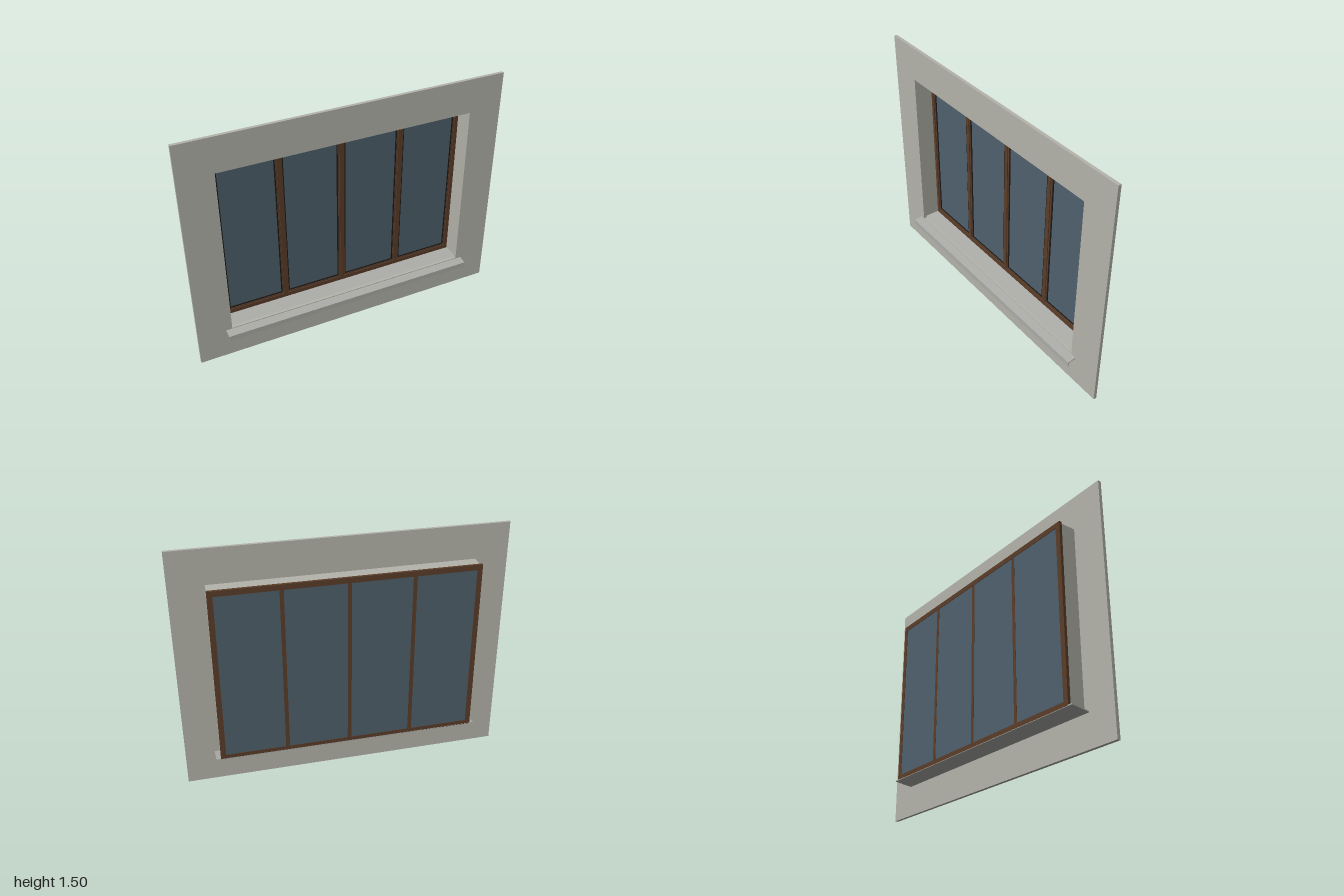
import * as THREE from 'three';

const material = (name, color) => {
  const m = new THREE.MeshStandardMaterial({ color });
  m.name = name;
  return m;
};

export function createModel() {
  const model = new THREE.Group();
  model.name = 'windowInWall';
  const plaster = material('plaster', 0xb4b4ab);
  const metal = material('sillMetal', 0xacaca8);
  const wood = material('brownFrame', 0x5a3d29);
  const rubber = material('darkGasket', 0x1c1a18);
  const glass = material('blueGlass', 0x4f606c);

  const add = (name, geometry, mat, parent = model) => {
    const mesh = new THREE.Mesh(geometry, mat);
    mesh.name = name;
    parent.add(mesh);
    return mesh;
  };
  const box = (name, x0, x1, y0, y1, z0, z1, mat, parent) => {
    const g = new THREE.BoxGeometry(x1 - x0, y1 - y0, z1 - z0);
    g.translate((x0 + x1) / 2, (y0 + y1) / 2, (z0 + z1) / 2);
    return add(name, g, mat, parent);
  };
  const rect = (Type, x0, x1, y0, y1) => {
    const p = new Type();
    p.moveTo(x0, y0);
    p.lineTo(x1, y0);
    p.lineTo(x1, y1);
    p.lineTo(x0, y1);
    p.closePath();
    return p;
  };
  // Rectangular ring between an outer and an inner rectangle [x0, x1, y0, y1]
  const ring = (name, outer, inner, z0, z1, mat, parent) => {
    const shape = rect(THREE.Shape, ...outer);
    shape.holes.push(rect(THREE.Path, ...inner));
    const g = new THREE.ExtrudeGeometry(shape, { depth: z1 - z0, bevelEnabled: false });
    g.translate(0, 0, z0);
    return add(name, g, mat, parent);
  };
  const inset = ([x0, x1, y0, y1], d) => [x0 + d, x1 - d, y0 + d, y1 - d];

  // Wall panel with its opening
  ring('wall', [-1, 1, 0, 1.505], [-0.787, 0.787, 0.2, 1.288], 0.02, 0.04, plaster);

  // Reveal lining behind the wall
  for (const s of [-1, 1]) {
    const [a, b] = s < 0 ? [-0.793, -0.787] : [0.787, 0.793];
    box(s < 0 ? 'rightReveal' : 'leftReveal', a, b, 0.213, 1.294, -0.08, 0.02, plaster);
  }
  box('topReveal', -0.787, 0.787, 1.288, 1.294, -0.08, 0.02, plaster);

  // Sloping sill with a folded drip edge
  const profile = new THREE.Shape([
    [-0.095, 0.206], [0.09, 0.182], [0.09, 0.155], [0.095, 0.155], [0.095, 0.188], [-0.095, 0.213],
  ].map(([z, y]) => new THREE.Vector2(z, y)));
  const sill = new THREE.ExtrudeGeometry(profile, { depth: 1.65, bevelEnabled: false });
  sill.rotateY(-Math.PI / 2);
  sill.translate(0.825, 0, 0);
  add('sill', sill, metal);

  // Outer frame
  const bottom = 0.237, top = 1.268;
  ring('outerFrame', [-0.797, 0.797, 0.209, 1.301], [-0.765, 0.765, bottom, top], -0.095, -0.077, wood);

  // Mullions
  const centres = [-0.388, 0, 0.388];
  for (const x of centres) box('mullion', x - 0.012, x + 0.012, bottom, top, -0.0935, -0.077, wood);

  // Four panes, each with a stepped sash, gasket and glass
  const edges = [-0.777, ...centres, 0.777];
  for (let i = 0; i < 4; i++) {
    const pane = new THREE.Group();
    pane.name = 'pane' + (i + 1);
    model.add(pane);
    const bay = [edges[i] + 0.012, edges[i + 1] - 0.012, bottom, top];
    const sash = inset(bay, 0.009);
    const sight = inset(sash, 0.007);
    ring('sash', bay, sash, -0.089, -0.082, wood, pane);
    ring('gasket', sash, sight, -0.089, -0.085, rubber, pane);
    box('glass', ...bay, -0.0925, -0.089, glass, pane);
  }
  return model;
}
